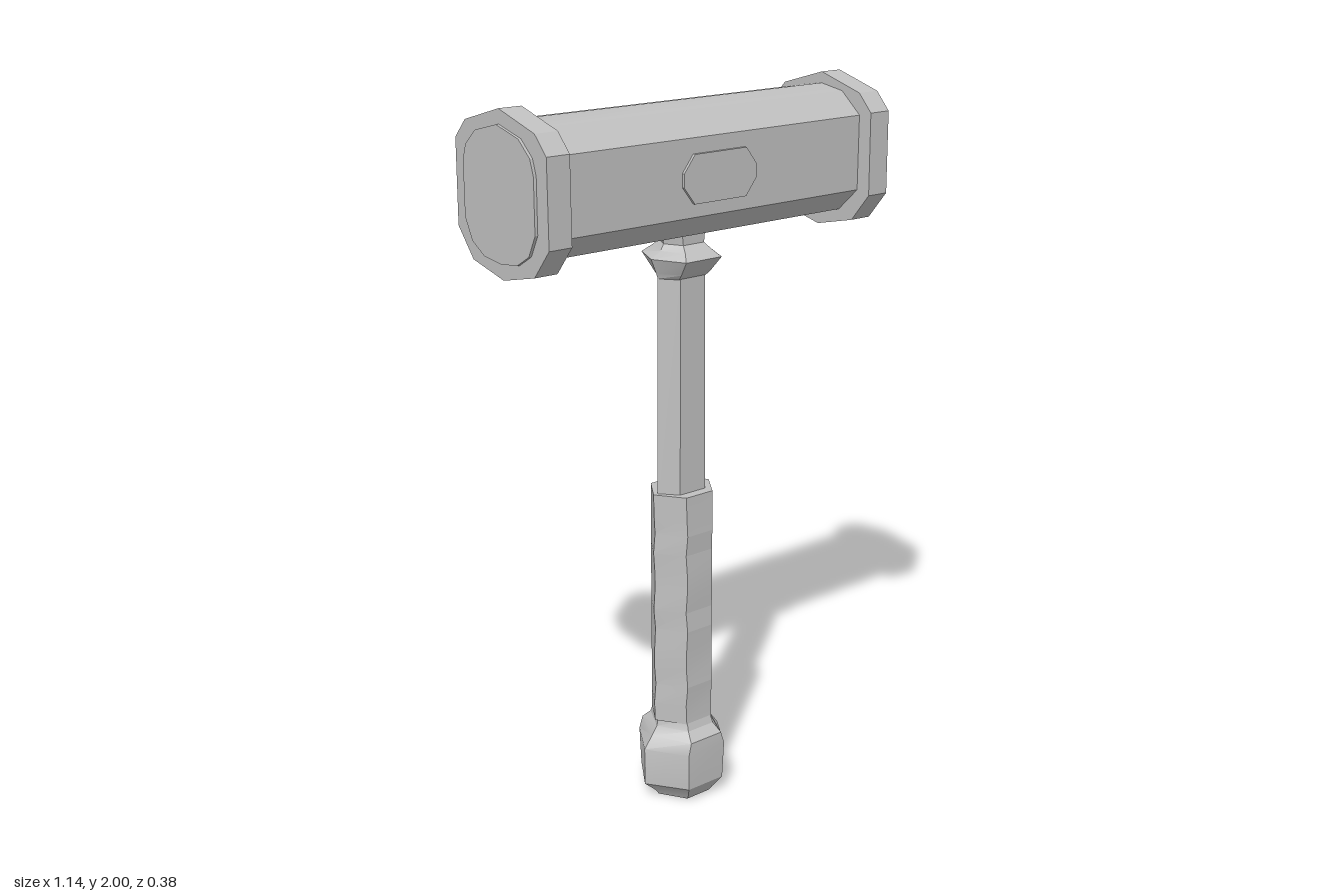
import * as THREE from 'three';
import { toCreasedNormals } from 'three/addons/utils/BufferGeometryUtils.js';

const steel = new THREE.MeshStandardMaterial({ color: 0xc0c0c0 });
steel.name = 'grey steel';

function addMesh(group, name, geometry, crease = 0.4) {
  const mesh = new THREE.Mesh(toCreasedNormals(geometry, crease), steel);
  mesh.name = name;
  group.add(mesh);
  return mesh;
}

// Six-sided column from rings of [y, half width, half depth, half width of the front facet]
function hexLoft(rings) {
  const pos = [], idx = [], n = 6;
  for (const [y, rx, rz, hx] of rings) {
    pos.push(rx, y, 0, hx, y, rz, -hx, y, rz, -rx, y, 0, -hx, y, -rz, hx, y, -rz);
  }
  for (let r = 0; r < rings.length - 1; r++) {
    for (let i = 0; i < n; i++) {
      const a = r * n + i, b = r * n + (i + 1) % n;
      idx.push(a, a + n, b, b, a + n, b + n);
    }
  }
  const top = (rings.length - 1) * n;
  for (let i = 1; i < n - 1; i++) idx.push(0, i, i + 1, top, top + i + 1, top + i);
  const g = new THREE.BufferGeometry();
  g.setAttribute('position', new THREE.Float32BufferAttribute(pos, 3));
  g.setIndex(idx);
  return g;
}

// Prism along x from a half outline of [z, y] points, mirrored in z
function headPrism(half, x0, x1) {
  const other = half.filter(p => p[0] > 0).map(([z, y]) => [-z, y]).reverse();
  const shape = new THREE.Shape([...half, ...other].map(p => new THREE.Vector2(...p)));
  return new THREE.ExtrudeGeometry(shape, { depth: x1 - x0, bevelEnabled: false })
    .rotateY(Math.PI / 2).translate(x0, 0, 0);
}

export function createModel() {
  const model = new THREE.Group();
  model.name = 'hammer';

  // Head: barrel, end bands and striking faces
  const barrel = [[0, 1.97], [0.08, 1.957], [0.148, 1.9], [0.148, 1.7], [0.08, 1.637], [0, 1.63]];
  const band = [[0, 2], [0.145, 1.958], [0.19, 1.91], [0.192, 1.69], [0.13, 1.615], [0, 1.585]];
  const face = [[0, 1.963], [0.09, 1.94], [0.135, 1.9], [0.148, 1.86],
    [0.148, 1.72], [0.12, 1.665], [0.07, 1.635], [0, 1.627]];
  addMesh(model, 'headBarrel', headPrism(barrel, -0.52, 0.52));
  for (const [side, s] of [['left', 1], ['right', -1]]) {
    const span = (a, b) => (s > 0 ? [a, b] : [-b, -a]);
    addMesh(model, side + 'Band', headPrism(band, ...span(0.493, 0.56)), 0.2);
    addMesh(model, side + 'StrikingFace', headPrism(face, ...span(0.55, 0.568)));
  }

  // Raised plaques on front and back
  const outline = [[-0.12, 1.78], [-0.085, 1.735], [0.085, 1.735], [0.12, 1.78],
    [0.12, 1.815], [0.085, 1.86], [-0.085, 1.86], [-0.12, 1.815]];
  const plaque = new THREE.Shape(outline.map(p => new THREE.Vector2(...p)));
  for (const [name, turn] of [['frontPlaque', 0], ['backPlaque', Math.PI]]) {
    const g = new THREE.ExtrudeGeometry(plaque, { depth: 0.009, bevelEnabled: false });
    addMesh(model, name, g.translate(0, 0, 0.147).rotateY(turn));
  }

  // Flared collar below the head
  addMesh(model, 'collar', hexLoft([
    [1.515, 0.08, 0.045, 0.045], [1.53, 0.085, 0.06, 0.05], [1.57, 0.102, 0.092, 0.06],
    [1.588, 0.07, 0.07, 0.045], [1.605, 0.06, 0.05, 0.035], [1.65, 0.07, 0.05, 0.04],
  ]));
  addMesh(model, 'shaft', hexLoft([[0.88, 0.084, 0.048, 0.044], [1.53, 0.08, 0.046, 0.042]]));

  // Wrapped grip, slightly uneven along its length
  const grip = [];
  for (let i = 0; i <= 12; i++) {
    const wobble = 0.003 * Math.sin(i * 2.3);
    grip.push([0.24 + 0.68 * i / 12, 0.096 + wobble, 0.078 - wobble * 0.7, 0.045 + wobble * 0.5]);
  }
  addMesh(model, 'grip', hexLoft(grip), 0.1);

  // Pommel
  addMesh(model, 'pommel', hexLoft([
    [0, 0.085, 0.075, 0.04], [0.015, 0.095, 0.085, 0.045], [0.05, 0.135, 0.108, 0.062],
    [0.16, 0.135, 0.112, 0.065], [0.195, 0.108, 0.11, 0.055], [0.22, 0.09, 0.085, 0.045],
    [0.25, 0.085, 0.075, 0.042],
  ]));
  return model;
}
